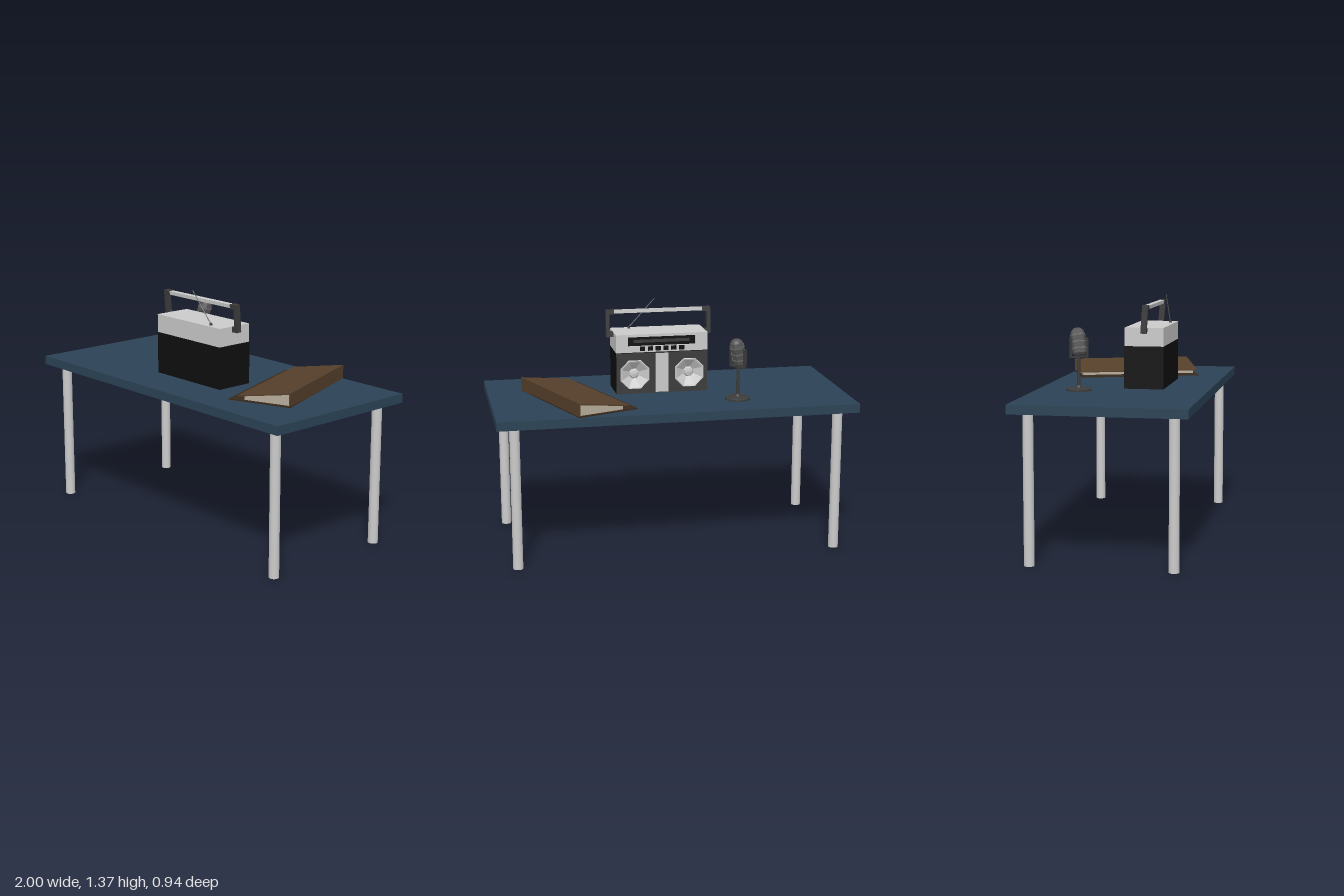
import * as THREE from 'three';

const mat = (color, side = THREE.FrontSide) =>
  new THREE.MeshStandardMaterial({ color, side, flatShading: true });
const smooth = (color) => new THREE.MeshStandardMaterial({ color });
const SILVER = 0xcccccc, BLACK = 0x0f0f0f, DARK = 0x3c3c3c, COVER = 0x56402b, COVER_DARK = 0x38291c;

function add(parent, name, geo, material, x = 0, y = 0, z = 0) {
  const m = new THREE.Mesh(geo, material);
  m.name = name;
  m.position.set(x, y, z);
  parent.add(m);
  return m;
}
// Box given by its minimum and maximum corners
function box(parent, name, color, [x0, y0, z0], [x1, y1, z1]) {
  return add(parent, name, new THREE.BoxGeometry(x1 - x0, y1 - y0, z1 - z0), mat(color),
    (x0 + x1) / 2, (y0 + y1) / 2, (z0 + z1) / 2);
}
function group(parent, name, x = 0, y = 0, z = 0) {
  const g = new THREE.Group();
  g.name = name;
  g.position.set(x, y, z);
  parent.add(g);
  return g;
}
const poly = (pts, T = THREE.Shape) => new T(pts.map(([x, y]) => new THREE.Vector2(x, y)));
const rect = (x0, y0, x1, y1) => [[x0, y0], [x1, y0], [x1, y1], [x0, y1]];
const octagon = (cx, cy, r) => Array.from({ length: 8 }, (_, i) => {
  const a = (i + 0.5) * Math.PI / 4;
  return [cx + r * Math.cos(a), cy + r * Math.sin(a)];
});
function extrude(outline, holes, depth) {
  const s = poly(outline);
  s.holes = holes.map((h) => poly(h, THREE.Path));
  return new THREE.ExtrudeGeometry(s, { depth, bevelEnabled: false });
}
const lathe = (pts, n, start = 0) =>
  new THREE.LatheGeometry(pts.map(([x, y]) => new THREE.Vector2(x, y)), n, start);

function buildTable(root) {
  const g = group(root, 'table');
  box(g, 'tableTop', 0x2b4356, [-1, 0.81, -0.47], [1, 0.86, 0.47]);
  for (const x of [-0.9, 0.9]) for (const z of [-0.38, 0.385])
    add(g, 'tableLeg', new THREE.CylinderGeometry(0.028, 0.028, 0.81, 20), smooth(SILVER), x, 0.405, z);
}

function buildRadio(root) {
  const g = group(root, 'radio', 0.0225, 0.86, 0);
  const w = 0.2625;
  // Lower black cabinet with a speaker panel facing back
  box(g, 'cabinet', BLACK, [-w, 0, 0.04], [w, 0.237, 0.217]);
  add(g, 'speakerPanel',
    extrude(rect(-w, 0, w, 0.235), [octagon(-0.157, 0.11, 0.09), octagon(0.157, 0.11, 0.09)], 0.044),
    [mat(DARK), mat(BLACK)], 0, 0, -0.004);
  box(g, 'cassettePanel', SILVER, [-0.037, 0.005, -0.007], [0.037, 0.23, 0]);
  for (const x of [-0.157, 0.157]) {
    const cone = add(g, 'speakerCone',
      lathe([[0.09, 0], [0.086, 0.006], [0.078, 0.003], [0.03, -0.03], [0.022, -0.02], [0, -0.016]], 8, Math.PI / 8),
      mat(SILVER, THREE.DoubleSide), x, 0.11, -0.003);
    cone.rotation.x = -Math.PI / 2;
  }
  // Upper silver housing with a sunken tuner window
  box(g, 'housing', SILVER, [-w, 0.237, 0.02], [w, 0.34, 0.217]);
  add(g, 'housingFront',
    extrude(rect(-w, 0.237, w, 0.34), [rect(-0.195, 0.272, 0.195, 0.325)], 0.02), mat(SILVER));
  box(g, 'tunerWindow', BLACK, [-0.195, 0.272, 0.014], [0.195, 0.325, 0.021]);
  box(g, 'tunerScale', DARK, [-0.16, 0.29, 0.009], [0.16, 0.307, 0.015]);
  for (let i = 0; i < 6; i++) {
    const x = -0.1125 + i * 0.045;
    box(g, 'button', BLACK, [x - 0.014, 0.247, -0.011], [x + 0.014, 0.27, 0.002]);
  }
  // Carrying handle, leaning slightly
  const h = group(g, 'handle', 0, 0.325, 0.111);
  h.rotation.x = 0.075;
  for (const s of [-1, 1]) {
    const side = (name, a, b, y0, y1) =>
      box(h, name, DARK, [Math.min(s * a, s * b), y0, -0.016], [Math.max(s * a, s * b), y1, 0.016]);
    side('handleArm', 0.282, 0.302, -0.015, 0.14);
    side('handlePivot', w, 0.283, -0.015, 0.015);
    side('handleCorner', 0.255, 0.283, 0.114, 0.14);
  }
  box(h, 'handleBar', SILVER, [-0.257, 0.118, -0.013], [0.257, 0.138, 0.013]);
  // Folded-out antenna
  const a = group(g, 'antenna', 0.158, 0.345, 0.187);
  add(a, 'antennaBase', new THREE.CylinderGeometry(0.007, 0.009, 0.014, 10), mat(DARK));
  a.add(new THREE.Group());
  const rod = add(a, 'antennaRod', new THREE.CylinderGeometry(0.0022, 0.003, 0.222, 8), smooth(0x777777), -0.0755, 0.083, 0);
  rod.rotation.z = Math.atan2(0.15, 0.163);
}

function buildMicrophone(root) {
  const g = group(root, 'microphone', -0.363, 0.86, -0.233);
  g.rotation.y = -0.95;
  add(g, 'micBase', lathe([[0, 0], [0.07, 0], [0.07, 0.01], [0.06, 0.016], [0.018, 0.018], [0.012, 0.03], [0, 0.03]], 20), mat(DARK));
  add(g, 'micStem', new THREE.CylinderGeometry(0.009, 0.009, 0.17, 12), smooth(DARK), 0, 0.1, 0);
  // Fork holding the head
  box(g, 'forkBottom', DARK, [-0.053, 0.181, -0.011], [0.053, 0.191, 0.011]);
  for (const s of [-1, 1]) {
    add(g, 'forkArm', new THREE.BoxGeometry(0.008, 0.105, 0.022), mat(DARK), s * 0.049, 0.236, 0);
    const knob = add(g, 'forkKnob', new THREE.CylinderGeometry(0.009, 0.009, 0.012, 10), mat(DARK), s * 0.047, 0.275, 0);
    knob.rotation.z = Math.PI / 2;
  }
  // Tilted faceted head with grille bands
  const head = group(g, 'micHead', 0, 0.266, 0);
  head.rotation.x = -0.3;
  add(head, 'micBody', lathe([[0, -0.073], [0.03, -0.073], [0.04, -0.062], [0.042, 0.04], [0.034, 0.065], [0.02, 0.078], [0, 0.08]], 8, Math.PI / 8), mat(0x555555));
  for (const y of [-0.035, 0.0, 0.038])
    add(head, 'grilleBand', new THREE.CylinderGeometry(0.0435, 0.0435, 0.006, 8, 1, false, Math.PI / 8), mat(0x707070), 0, y, 0);
}

function buildBinder(root) {
  // Origin at the middle of the spine, covers running towards -x
  const g = group(root, 'binder', 0.6825, 0.86, -0.14);
  g.rotation.y = 0.356;
  const slab = (name, color, profile, half) =>
    add(g, name, extrude(profile, [], half * 2), mat(color), 0, 0, -half);
  slab('bottomCover', COVER_DARK, rect(-0.36, 0.001, 0, 0.007), 0.352);
  slab('topCover', COVER, [[-0.305, 0.025], [0, 0.072], [0, 0.079], [-0.305, 0.032]], 0.352);
  slab('spine', COVER, rect(-0.006, 0.001, 0, 0.078), 0.352);
  slab('paper', 0xb8ae9c, [[-0.275, 0.007], [-0.006, 0.007], [-0.006, 0.071], [-0.275, 0.0296]], 0.335);
}

export function createModel() {
  const root = new THREE.Group();
  root.name = 'deskWithRadio';
  buildTable(root);
  buildRadio(root);
  buildMicrophone(root);
  buildBinder(root);
  return root;
}
